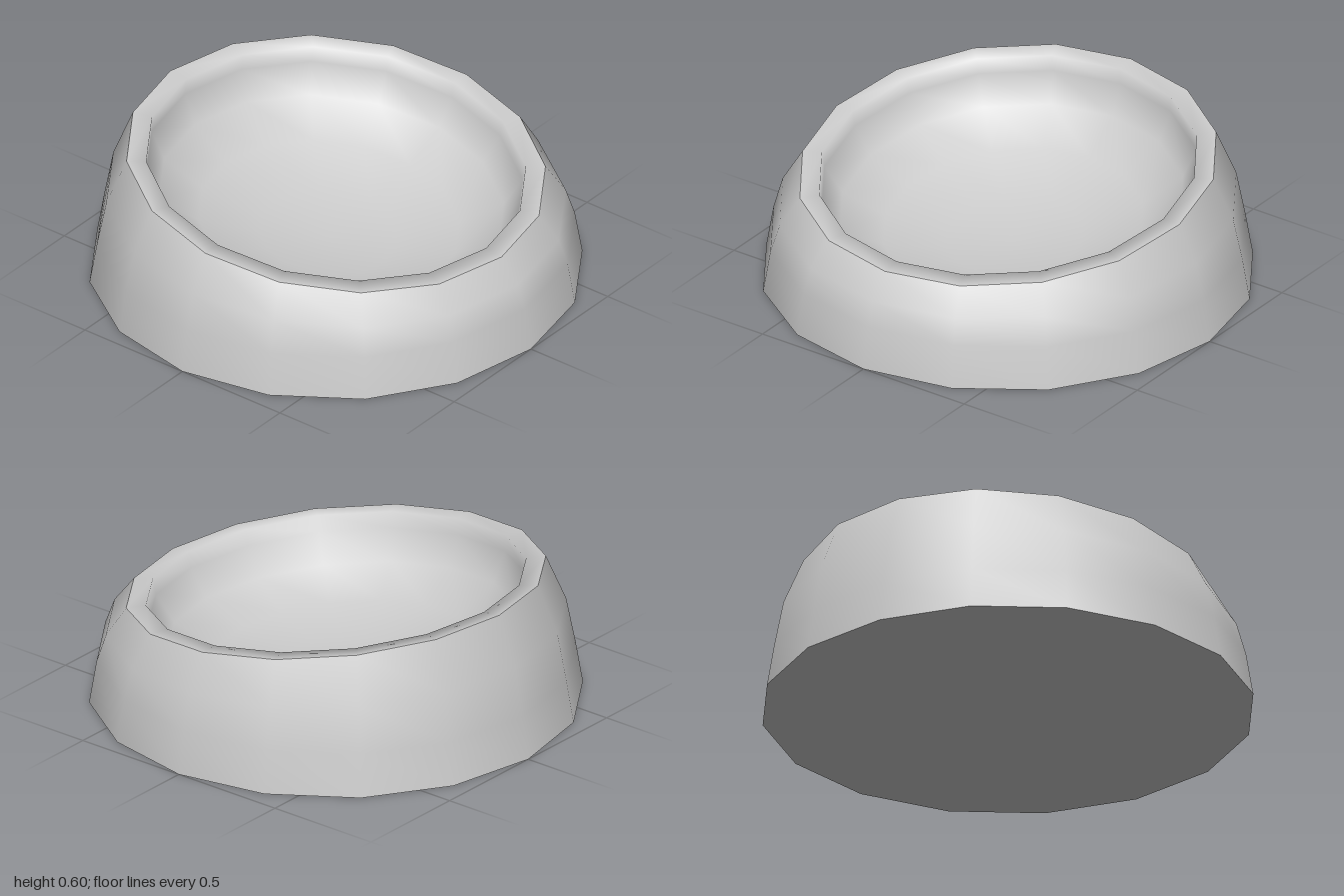
import * as THREE from 'three';
import { mergeVertices } from 'three/addons/utils/BufferGeometryUtils.js';

const SIDES = 16;
const SLOPE = 0.127; // fall of the rim towards the front
const RIM_Y = 0.49; // rim height at the middle

// Lathe rings, moved by a rule place(position, ring), then welded and smoothed
function turned(profile, place) {
  const points = profile.map(([r, y]) => new THREE.Vector2(r, y));
  const lathe = new THREE.LatheGeometry(points, SIDES);
  const pos = lathe.attributes.position;
  const p = new THREE.Vector3();
  for (let i = 0; i < pos.count; i++) {
    p.fromBufferAttribute(pos, i);
    place(p, profile[i % profile.length]);
    pos.setXYZ(i, p.x, p.y, p.z);
  }
  lathe.deleteAttribute('normal');
  lathe.deleteAttribute('uv');
  const geometry = mergeVertices(lathe, 1e-4);
  geometry.computeVertexNormals();
  return geometry;
}

export function createModel() {
  const group = new THREE.Group();
  group.name = 'slantedBowl';
  const material = new THREE.MeshStandardMaterial({ color: 0xcccccc });
  const add = (name, geometry) => {
    const mesh = new THREE.Mesh(geometry, material);
    mesh.name = name;
    group.add(mesh);
  };

  // Outer wall: radius, height, slope; the slant grows towards the rim
  const wall = [
    [1, 0, 0],
    [0.97, 0.18, 0],
    [0.932, 0.335, 0.059],
    [0.85, RIM_Y, SLOPE],
  ];
  add('outerWall', turned(wall, (p, ring) => { p.y -= ring[2] * p.z; }));

  // Flat lip running into the hollow: radius, depth below the slanted rim plane
  const hollow = [
    [0.85, 0],
    [0.77, 0],
    [0.765, -0.07],
    [0.7, -0.19],
    [0.53, -0.29],
    [0.28, -0.35],
    [0, -0.37],
  ];
  const rimNormal = new THREE.Vector3(0, 1, SLOPE).normalize();
  add('lipAndHollow', turned(hollow, (p, ring) => {
    p.y = RIM_Y - SLOPE * p.z;
    p.addScaledVector(rimNormal, ring[1]);
  }));

  // Flat underside
  const base = new THREE.CircleGeometry(1, SIDES);
  base.rotateX(Math.PI / 2);
  add('underside', base);

  return group;
}
